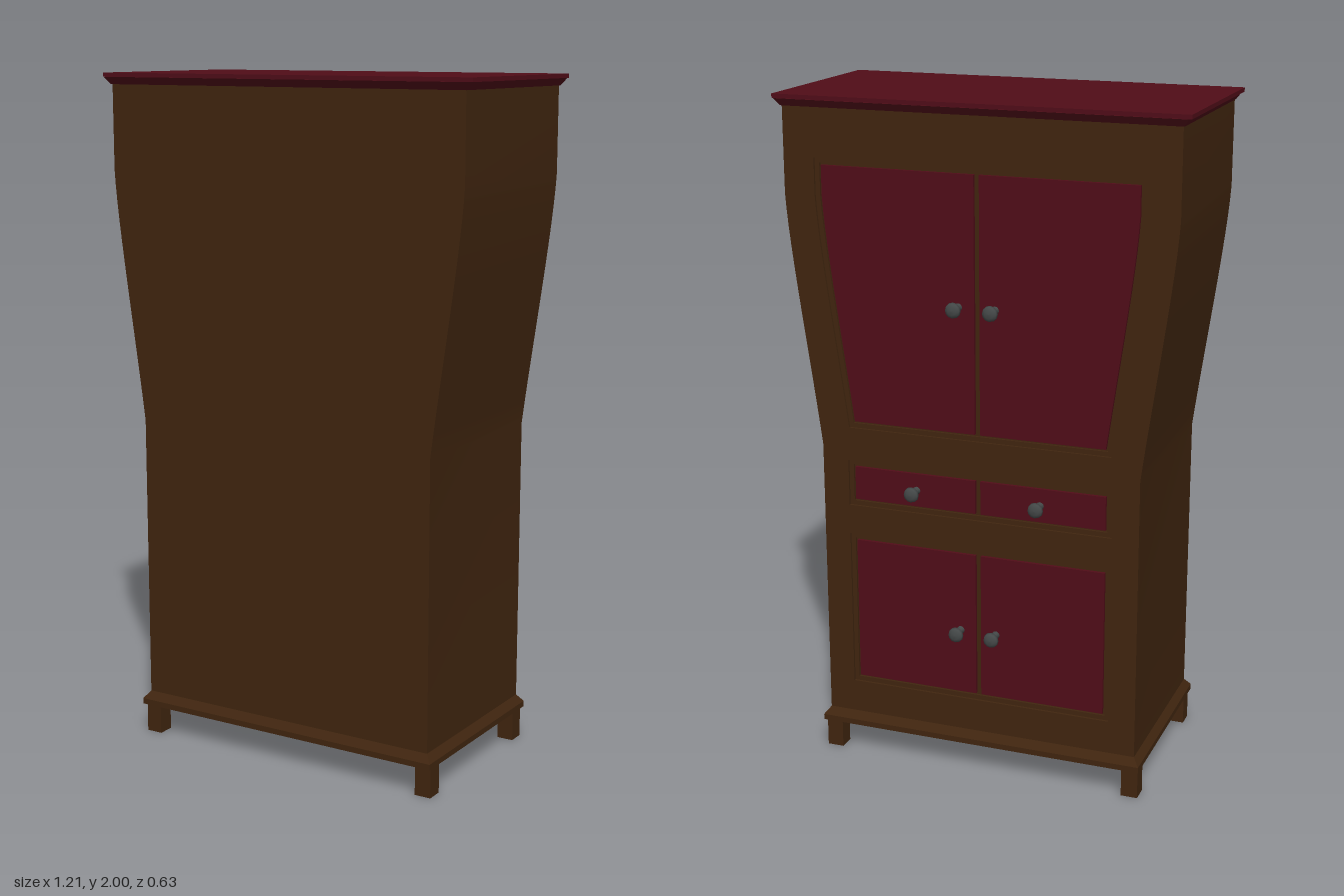
import * as THREE from 'three';
import { toCreasedNormals } from 'three/addons/utils/BufferGeometryUtils.js';

const wood = new THREE.MeshStandardMaterial({ color: 0x40250f });
const red = new THREE.MeshStandardMaterial({ color: 0x500d18 });
const metal = new THREE.MeshStandardMaterial({ color: 0x444848 });

const BACK = 0.30, FACE = -0.26; // plain side and door side
const MID = (BACK + FACE) / 2;

// Half width of the cabinet at height y: straight, flaring, straight
const flare = new THREE.CubicBezierCurve(
  new THREE.Vector2(0.485, 0.98), new THREE.Vector2(0.515, 1.22),
  new THREE.Vector2(0.572, 1.56), new THREE.Vector2(0.58, 1.72));
const side = [new THREE.Vector2(0.485, 0), ...flare.getPoints(12), new THREE.Vector2(0.58, 2.1)];
function halfWidth(y) {
  const i = Math.max(1, side.findIndex(p => p.y >= y));
  const a = side[i - 1], b = side[i];
  return THREE.MathUtils.lerp(a.x, b.x, (y - a.y) / (b.y - a.y));
}

// Outline between two heights, inset from the cabinet side.
// With an inner x it is one half only, otherwise it is symmetrical.
function region(y0, y1, inset, inner) {
  const ys = [y0, ...side.map(p => p.y).filter(y => y > y0 + 0.005 && y < y1 - 0.005), y1];
  const right = ys.map(y => new THREE.Vector2(halfWidth(y) - inset, y));
  const left = inner === undefined
    ? right.map(p => new THREE.Vector2(-p.x, p.y)).reverse()
    : [new THREE.Vector2(inner, y1), new THREE.Vector2(inner, y0)];
  return new THREE.Shape([...right, ...left]);
}

function extrude(shape, z0, z1) {
  const g = new THREE.ExtrudeGeometry(shape, { depth: z1 - z0, bevelEnabled: false });
  g.translate(0, 0, z0);
  return toCreasedNormals(g, 0.4);
}

// Box whose bottom and top differ in size by an even margin
function taperedBox(w, d, y0, y1, bottomMargin, topMargin) {
  const g = new THREE.BoxGeometry(1, y1 - y0, 1).toNonIndexed();
  const p = g.attributes.position;
  for (let i = 0; i < p.count; i++) {
    const m = p.getY(i) < 0 ? bottomMargin : topMargin;
    p.setX(i, p.getX(i) * (w + 2 * m));
    p.setZ(i, p.getZ(i) * (d + 2 * m));
  }
  g.translate(0, (y0 + y1) / 2, MID);
  g.computeVertexNormals();
  return g;
}

export function createModel() {
  const root = new THREE.Group();
  root.name = 'cupboard';
  const add = (name, geometry, material, parent = root) => {
    const mesh = new THREE.Mesh(geometry, material);
    mesh.name = name;
    parent.add(mesh);
    return mesh;
  };

  // Carcass, and a face frame with three openings
  add('carcass', extrude(region(0.09, 1.97, 0), FACE + 0.014, BACK), wood);
  const openings = [
    { name: 'upperDoor', y0: 1.04, y1: 1.825, inset: 0.093, knobX: 0.055, knobY: 1.43 },
    { name: 'drawer', y0: 0.80, y1: 0.94, inset: 0.08, knobX: 0.19, knobY: 0.87 },
    { name: 'lowerDoor', y0: 0.23, y1: 0.71, inset: 0.08, knobX: 0.055, knobY: 0.45 },
  ];
  const frame = region(0.09, 1.97, 0);
  for (const o of openings) frame.holes.push(region(o.y0, o.y1, o.inset));
  add('faceFrame', extrude(frame, FACE, FACE + 0.014), wood);

  // Flared knob, turned about the z axis
  const knobProfile = [[0.012, 0], [0.009, 0.012], [0.011, 0.024], [0.023, 0.038],
    [0.021, 0.046], [0.012, 0.051], [0, 0.052]].map(p => new THREE.Vector2(...p));
  const knobGeometry = new THREE.LatheGeometry(knobProfile, 12).rotateX(-Math.PI / 2);

  // Mouldings, paired panels and knobs
  for (const o of openings) {
    const ring = region(o.y0, o.y1, o.inset);
    ring.holes.push(region(o.y0 + 0.014, o.y1 - 0.014, o.inset + 0.014));
    add(o.name + 'Moulding', extrude(ring, FACE + 0.007, FACE + 0.015), wood);
    const panel = extrude(region(o.y0 + 0.02, o.y1 - 0.02, o.inset + 0.02, 0.008), FACE + 0.004, FACE + 0.015);
    // Mirrored by turning about y and shifting back to the door side
    const turned = panel.clone().rotateY(Math.PI).translate(0, 0, 2 * FACE + 0.019);
    add(o.name + 'Left', panel, red);
    add(o.name + 'Right', turned, red);
    for (const s of [1, -1]) {
      add(o.name + 'Knob', knobGeometry, metal).position.set(s * o.knobX, o.knobY, FACE + 0.002);
    }
  }

  // Overhanging top with a slanted lower edge
  const w = 1.16, d = BACK - FACE;
  add('topEdge', taperedBox(w, d, 1.967, 1.988, 0.003, 0.018), red);
  const slab = add('topSlab', taperedBox(w + 0.05, d + 0.025, 1.988, 2.0, 0, 0), red);
  slab.position.z = 0;

  // Base moulding
  add('baseBand', taperedBox(0.97, d, 0.09, 0.107, 0.018, 0.018), wood);
  add('baseSlope', taperedBox(0.97, d, 0.107, 0.13, 0.018, 0), wood);

  // Square feet
  for (const x of [-1, 1]) {
    for (const z of [-1, 1]) {
      add('foot', new THREE.BoxGeometry(0.05, 0.1, 0.05), wood)
        .position.set(x * 0.473, 0.05, MID + z * 0.258);
    }
  }
  return root;
}
